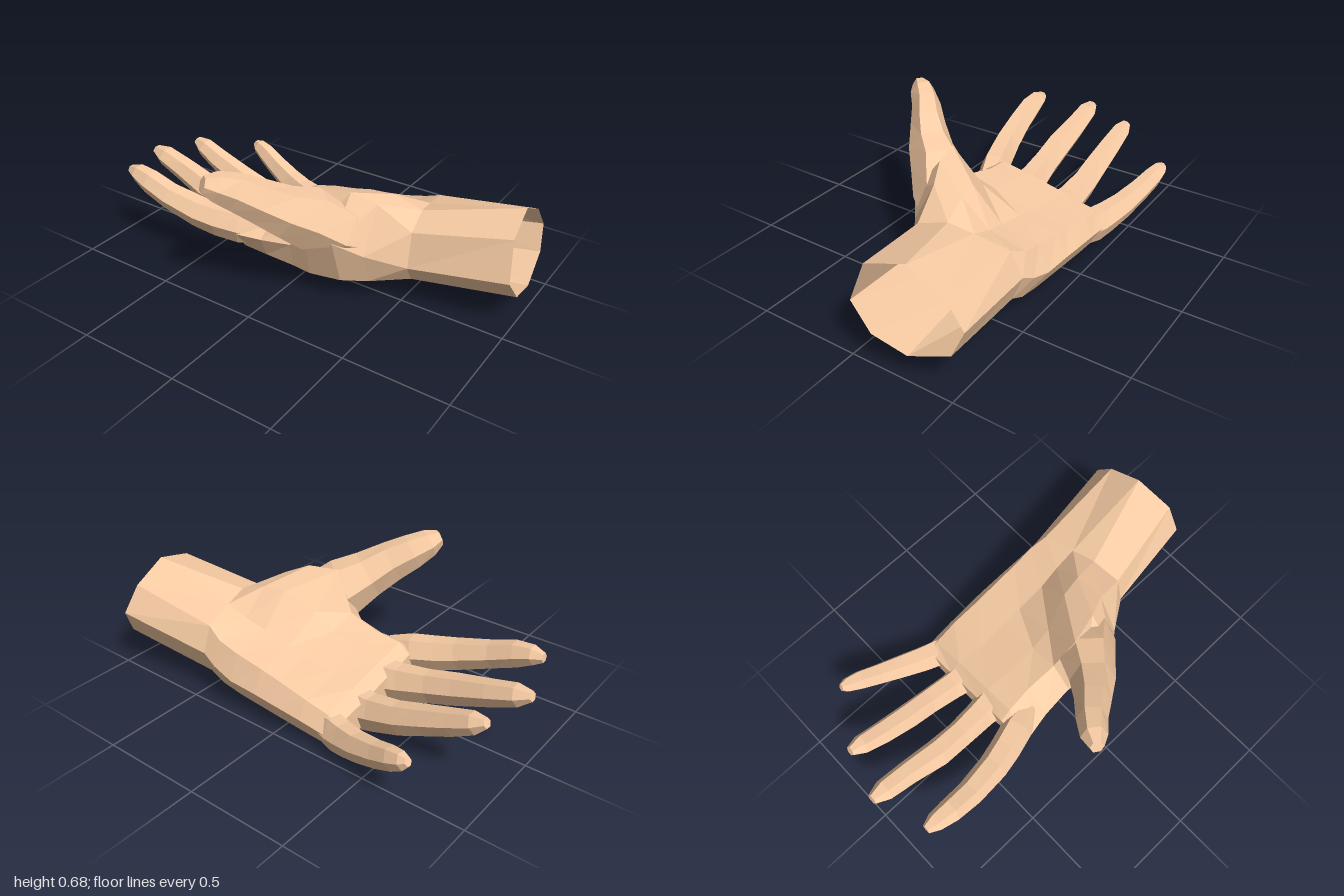
import * as THREE from 'three';

const skin = new THREE.MeshStandardMaterial({ color: 0xf8cca4, flatShading: true, side: THREE.DoubleSide });

// Skin a list of equal-sized rings of Vector3: open at the first ring, capped at the last.
function loft(name, rings) {
  const n = rings[0].length, pos = [], idx = [];
  rings.forEach(r => r.forEach(p => pos.push(p.x, p.y, p.z)));
  for (let i = 0; i < rings.length - 1; i++) {
    for (let j = 0; j < n; j++) {
      const a = i * n + j, b = i * n + (j + 1) % n, c = b + n, d = a + n;
      idx.push(a, d, c, a, c, b);
    }
  }
  const base = (rings.length - 1) * n;
  const mid = rings.at(-1).reduce((s, p) => s.add(p), new THREE.Vector3()).divideScalar(n);
  pos.push(mid.x, mid.y, mid.z);
  for (let j = 0; j < n; j++) idx.push(base + n, base + (j + 1) % n, base + j);
  const indexed = new THREE.BufferGeometry();
  indexed.setAttribute('position', new THREE.Float32BufferAttribute(pos, 3));
  indexed.setIndex(idx);
  const geometry = indexed.toNonIndexed();
  geometry.computeVertexNormals();
  const mesh = new THREE.Mesh(geometry, skin);
  mesh.name = name;
  return mesh;
}

// Six-sided digit along stations [x, y, z, halfWidth, halfHeight].
function digit(name, stations) {
  const pts = stations.map(s => new THREE.Vector3(s[0], s[1], s[2]));
  const up = new THREE.Vector3(0, 1, 0);
  const rings = stations.map(([, , , w, h], i) => {
    const t = pts[Math.min(i + 1, pts.length - 1)].clone().sub(pts[Math.max(i - 1, 0)]).normalize();
    const side = up.clone().cross(t).normalize();
    const top = t.clone().cross(side);
    return Array.from({ length: 6 }, (_, k) => {
      const a = k * Math.PI / 3;
      return pts[i].clone().addScaledVector(side, -Math.cos(a) * w).addScaledVector(top, Math.sin(a) * h * 1.15);
    });
  });
  return loft(name, rings);
}

export function createModel() {
  const hand = new THREE.Group();
  hand.name = 'hand';

  // Rings run from the outer edge over the palm to the thumb side and back below, as [z, y].
  const ring = (points, xAt) => points.map(([z, y]) => new THREE.Vector3(xAt(z, y), y, z));

  // Slanted open cuff and narrow wrist
  const cuff = [[-.52, .31], [-.43, .43], [-.26, .515], [-.165, .488], [-.07, .46], [-.01, .28], [-.11, .16], [-.28, .12], [-.47, .19]];
  const wrist = [[-.465, .24], [-.41, .36], [-.25, .40], [-.13, .425], [.01, .385], [.045, .22], [-.02, .125], [-.21, .085], [-.42, .12]];

  // Palm, with the thumb mound raised on the +z side and the knuckles tapering into webbing
  const palm = [
    [0.38, [[-.475, .20], [-.43, .32], [-.25, .36], [-.11, .475], [.04, .49], [.155, .28], [.10, .12], [-.15, .05], [-.42, .08]]],
    [0.27, [[-.485, .17], [-.43, .29], [-.24, .33], [-.09, .475], [.09, .54], [.24, .35], [.165, .12], [-.10, .04], [-.42, .06]]],
    [0.12, [[-.485, .16], [-.43, .265], [-.24, .295], [-.04, .39], [.13, .545], [.225, .30], [.19, .115], [-.10, .035], [-.42, .045]]],
    [0.02, [[-.485, .15], [-.43, .245], [-.24, .275], [-.04, .32], [.10, .36], [.205, .24], [.18, .115], [-.10, .03], [-.42, .035]]],
    [-0.14, [[-.48, .13], [-.435, .215], [-.24, .25], [-.04, .295], [.09, .32], [.215, .215], [.175, .115], [-.12, .02], [-.42, .02]]],
    [-0.265, [[-.475, .11], [-.43, .185], [-.26, .23], [-.05, .275], [.10, .30], [.24, .215], [.18, .125], [-.18, .005], [-.42, .012]]],
    [-0.32, [[-.45, .11], [-.42, .155], [-.26, .18], [-.05, .22], [.10, .25], [.20, .20], [.16, .15], [-.18, .05], [-.41, .05]]]
  ];
  hand.add(loft('palmAndWrist', [
    ring(cuff, (z, y) => 0.97 + 0.1 * (z + 0.26) - 0.12 * (y - 0.3)),
    ring(wrist, z => 0.5 + 0.18 * (z + 0.2)),
    ...palm.map(([x, points]) => ring(points, () => x))
  ]));

  // Fingers, rooted inside the palm
  hand.add(digit('indexFinger', [
    [-.18, .215, .14, .05, .06], [-.29, .225, .172, .074, .078], [-.40, .24, .208, .073, .074], [-.50, .262, .235, .07, .067],
    [-.66, .31, .26, .063, .058], [-.78, .355, .265, .057, .055], [-.86, .38, .262, .045, .04], [-.91, .385, .26, .022, .02]]));
  hand.add(digit('middleFinger', [
    [-.18, .155, -.02, .06, .07], [-.29, .163, -.018, .083, .09], [-.36, .173, -.012, .074, .083], [-.50, .205, 0, .067, .07],
    [-.64, .245, .005, .068, .065], [-.80, .30, -.005, .058, .055], [-.93, .345, -.007, .052, .045], [-.995, .365, -.007, .026, .02]]));
  hand.add(digit('ringFinger', [
    [-.18, .12, -.22, .055, .07], [-.29, .115, -.222, .076, .09], [-.36, .127, -.227, .068, .08], [-.50, .165, -.235, .063, .07],
    [-.62, .21, -.235, .062, .062], [-.76, .265, -.24, .056, .054], [-.87, .315, -.247, .048, .044], [-.925, .34, -.25, .024, .02]]));
  hand.add(digit('littleFinger', [
    [-.18, .10, -.40, .045, .06], [-.29, .098, -.415, .068, .08], [-.36, .108, -.437, .065, .072], [-.46, .133, -.47, .06, .062],
    [-.58, .175, -.505, .052, .054], [-.67, .215, -.53, .047, .048], [-.73, .24, -.543, .036, .036], [-.757, .252, -.548, .018, .018]]));

  // Thumb, rising from the mound of the palm
  hand.add(digit('thumb', [
    [.33, .30, .04, .09, .09], [.245, .345, .11, .125, .12], [.14, .42, .20, .128, .13], [.07, .475, .295, .105, .105],
    [-.015, .54, .375, .083, .09], [-.09, .59, .44, .07, .078], [-.145, .628, .505, .06, .06], [-.175, .648, .55, .032, .035]]));
  return hand;
}
